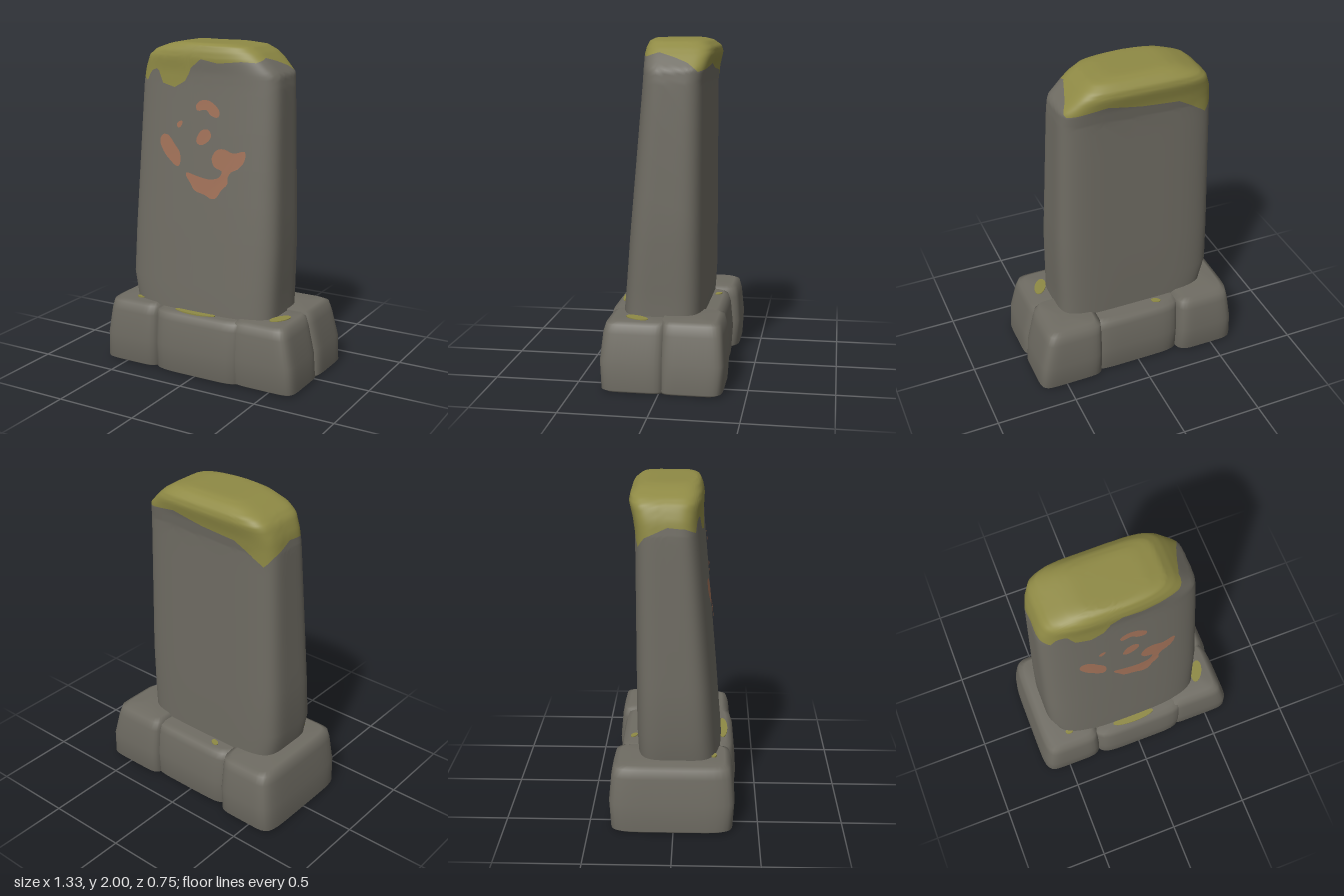
import * as THREE from 'three';

const stone = new THREE.MeshStandardMaterial({ color: 0x6f6c63 });
stone.name = 'stone';
const moss = new THREE.MeshStandardMaterial({ color: 0x8f8a45 });
moss.name = 'moss';
const paint = new THREE.MeshStandardMaterial({ color: 0xa17158 });
paint.name = 'paint';

// Piecewise linear lookup in rows of [key, value]
function lookup(table, k) {
  let i = 0;
  while (i < table.length - 2 && table[i + 1][0] < k) i++;
  const [a, b] = [table[i], table[i + 1]];
  return a[1] + (b[1] - a[1]) * THREE.MathUtils.clamp((k - a[0]) / (b[0] - a[0]), 0, 1);
}

// Ring at fractional index v: [y, x0, x1, z0, z1]
function ringAt(rings, v) {
  const i = Math.min(Math.floor(v), rings.length - 2);
  return rings[i].map((a, k) => a + (rings[i + 1][k] - a) * (v - i));
}

// Walk round a square: front 0-2, right 2-4, back 4-6, left 6-8
function square(p) {
  const side = Math.floor(p / 2) % 4, t = (p % 2) - 1;
  return [[t, 1], [1, -t], [-t, -1], [-1, t]][side];
}

// Point on a rounded rectangular ring whose front bows gently outward
function ringPoint([y, x0, x1, z0, z1], p, round, bow) {
  const [sx, sz] = square(p);
  const r = Math.pow(Math.abs(sx) ** round + Math.abs(sz) ** round, -1 / round);
  const x = sx * r, z = sz * r;
  const depth = (z1 - z0) / 2;
  return [(x0 + x1) / 2 + x * (x1 - x0) / 2, y,
    (z0 + z1) / 2 + z * depth - bow * x * x * Math.max(z, 0) * Math.min(1, depth / 0.1)];
}

// Skin over rows; levels(p) lists the ring indices used at each place round the ring
function loft(rings, segments, levels, round, bow = 0, splitRow = 0) {
  const pos = [], idx = [];
  const rows = levels(0).length;
  const columns = Array.from({ length: segments }, (_, i) => levels((8 * i) / segments));
  for (let j = 0; j < rows; j++) {
    for (let i = 0; i < segments; i++) {
      pos.push(...ringPoint(ringAt(rings, columns[i][j]), (8 * i) / segments, round, bow));
    }
  }
  for (let j = 0; j < rows - 1; j++) {
    for (let i = 0; i < segments; i++) {
      const a = j * segments + i, b = j * segments + ((i + 1) % segments);
      idx.push(a, b, b + segments, a, b + segments, a + segments);
    }
  }
  const geo = new THREE.BufferGeometry();
  geo.setAttribute('position', new THREE.Float32BufferAttribute(pos, 3));
  geo.setIndex(idx);
  geo.computeVertexNormals();
  if (splitRow) {
    const cut = splitRow * segments * 6;
    geo.addGroup(0, cut, 0);
    geo.addGroup(cut, idx.length - cut, 1);
  }
  return geo;
}

// Standing slab: [y, x0, x1, z0, z1]
const slabRings = [
  [0.30, -0.51, 0.455, -0.22, 0.285],
  [0.42, -0.515, 0.45, -0.22, 0.28],
  [0.56, -0.548, 0.452, -0.225, 0.268],
  [0.85, -0.542, 0.456, -0.225, 0.245],
  [1.74, -0.51, 0.425, -0.225, 0.168],
  [1.83, -0.498, 0.415, -0.238, 0.163],
  [1.91, -0.468, 0.335, -0.258, 0.167],
  [1.95, -0.42, 0.29, -0.25, 0.16],
  [1.985, -0.32, 0.235, -0.21, 0.145],
  [2.0, -0.24, 0.13, -0.16, 0.12],
  [2.0, -0.05, -0.05, -0.02, -0.02],
];
const ROUND = 5, BOW = 0.03;

// Height of the ragged moss edge round the slab
const mossEdge = [
  [0, 1.76], [0.12, 1.82], [0.28, 1.84], [0.4, 1.755], [0.6, 1.735], [0.77, 1.78],
  [0.83, 1.85], [1.04, 1.91], [1.3, 1.89], [1.7, 1.905], [2, 1.9], [2.5, 1.925],
  [3, 1.9], [3.4, 1.87], [3.8, 1.82], [4.1, 1.83], [4.5, 1.86], [5, 1.82],
  [5.5, 1.8], [5.8, 1.72], [6, 1.68], [6.3, 1.74], [7, 1.8], [7.6, 1.79], [8, 1.76],
];
const heightToIndex = slabRings.slice(0, -1).map((r, i) => [r[0], i]);

function slabLevels(p) {
  const edge = lookup(heightToIndex, lookup(mossEdge, p));
  const top = slabRings.length - 1;
  const out = [0, 1, 2, 3];
  for (let j = 1; j <= 12; j++) out.push(3 + (edge - 3) * j / 12);
  for (let j = 1; j <= 18; j++) out.push(edge + (top - edge) * j / 18);
  return out;
}

// Front surface of the slab at x, y
function frontZ(x, y) {
  const [, x0, x1, z0, z1] = ringAt(slabRings, lookup(heightToIndex, y));
  const s = (x - (x0 + x1) / 2) / ((x1 - x0) / 2);
  const z = Math.pow(1 - Math.abs(s) ** ROUND, 1 / ROUND);
  return (z0 + z1) / 2 + z * (z1 - z0) / 2 - BOW * s * s * z;
}

// Worn painted marks, outlines in hundredths
const marks = [
  [[-7, 164], [-4, 167], [1, 167.5], [6, 165], [9, 161], [8, 158], [3, 159], [0, 162], [-6, 161]],
  [[-20, 152], [-18, 154], [-16, 154], [-17, 151], [-19, 150]],
  [[-6, 143], [-3, 149.5], [2, 150.5], [4, 147], [2, 143.5], [-3, 141]],
  [[-32, 141], [-30, 145], [-26, 145], [-21, 140], [-17, 135], [-17, 128], [-19, 127], [-25, 131], [-29, 135]],
  [[5, 134], [8, 139], [13, 140], [19, 138], [26, 139.5], [26, 134], [22, 129], [18, 127],
    [16, 123.5], [16, 120], [12, 115.5], [9, 111], [6, 110], [1, 112], [-6, 114], [-9, 118],
    [-12, 122], [-12, 124], [-6, 123], [3, 121.5], [10, 123], [12, 127], [7, 129]],
];

function paintMark(outline) {
  const curve = new THREE.CatmullRomCurve3(
    outline.map(([x, y]) => new THREE.Vector3(x / 100, y / 100, 0)), true);
  const points = curve.getPoints(outline.length * 3).slice(0, -1);
  const geo = new THREE.ShapeGeometry(new THREE.Shape(points.map((p) => new THREE.Vector2(p.x, p.y))));
  const pos = geo.attributes.position;
  for (let i = 0; i < pos.count; i++) pos.setZ(i, frontZ(pos.getX(i), pos.getY(i)) + 0.006);
  geo.computeVertexNormals();
  return geo;
}

// Base stones: x0, x1, z0, z1, height, outward lean on the left and right
const stones = [
  ['leftEndStone', -0.665, -0.255, -0.38, 0.36, 0.41, 0.045, 0.01],
  ['middleStone', -0.30, 0.33, -0.345, 0.372, 0.398, 0, 0],
  ['rightFrontStone', 0.24, 0.662, -0.03, 0.352, 0.405, 0, 0.07],
  ['rightBackStone', 0.25, 0.665, -0.375, -0.005, 0.415, 0, 0.07],
];

function baseStone(x0, x1, z0, z1, h, leanL, leanR) {
  const cx = (x0 + x1) / 2, cz = (z0 + z1) / 2;
  const ring = (y, l, r, d) => [y, x0 + l, x1 - r, z0 + (z0 < -0.2 ? d : 0), z1 - (z1 > 0.2 ? d : 0)];
  const rings = [
    [0.005, cx, cx, cz, cz],
    ring(0.005, 0.02, 0.02, 0.035),
    ring(0.02, 0.002, 0.002, 0.01),
    ring(0.18, leanL * 0.25, leanR * 0.2, 0),
    ring(0.34, leanL * 0.75, leanR * 0.75, 0.015),
    ring(h - 0.015, leanL, leanR, 0.03),
    ring(h, leanL + 0.03, leanR + 0.03, 0.06),
    [h, cx, cx, cz, cz],
  ];
  return loft(rings, 56, () => rings.map((_, i) => i), 7);
}

// Moss patches lying on the base: x, y, z, half length, half width, turn
const patches = [
  [-0.02, 0.395, 0.292, 0.14, 0.03, 0],
  [0.485, 0.402, 0.15, 0.075, 0.035, 1.1],
  [-0.145, 0.395, -0.255, 0.03, 0.018, -0.5],
  [-0.445, 0.411, 0.235, 0.025, 0.018, 0],
];

export function createModel() {
  const model = new THREE.Group();
  const add = (name, geo, mat) => {
    const mesh = new THREE.Mesh(geo, mat);
    mesh.name = name;
    model.add(mesh);
    return mesh;
  };

  // Slab with its moss cap; the lower 15 bands of faces are bare stone
  add('mossToppedSlab', loft(slabRings, 160, slabLevels, ROUND, BOW, 15), [stone, moss]);
  marks.forEach((m, i) => add('paintMark' + (i + 1), paintMark(m), paint));
  for (const [name, ...size] of stones) add(name, baseStone(...size), stone);

  patches.forEach(([x, y, z, a, b, turn], i) => {
    const patch = add('mossPatch' + (i + 1), new THREE.CylinderGeometry(1, 1, 0.009, 20), moss);
    patch.position.set(x, y + 0.003, z);
    patch.scale.set(a, 1, b);
    patch.rotation.y = turn;
  });
  return model;
}
